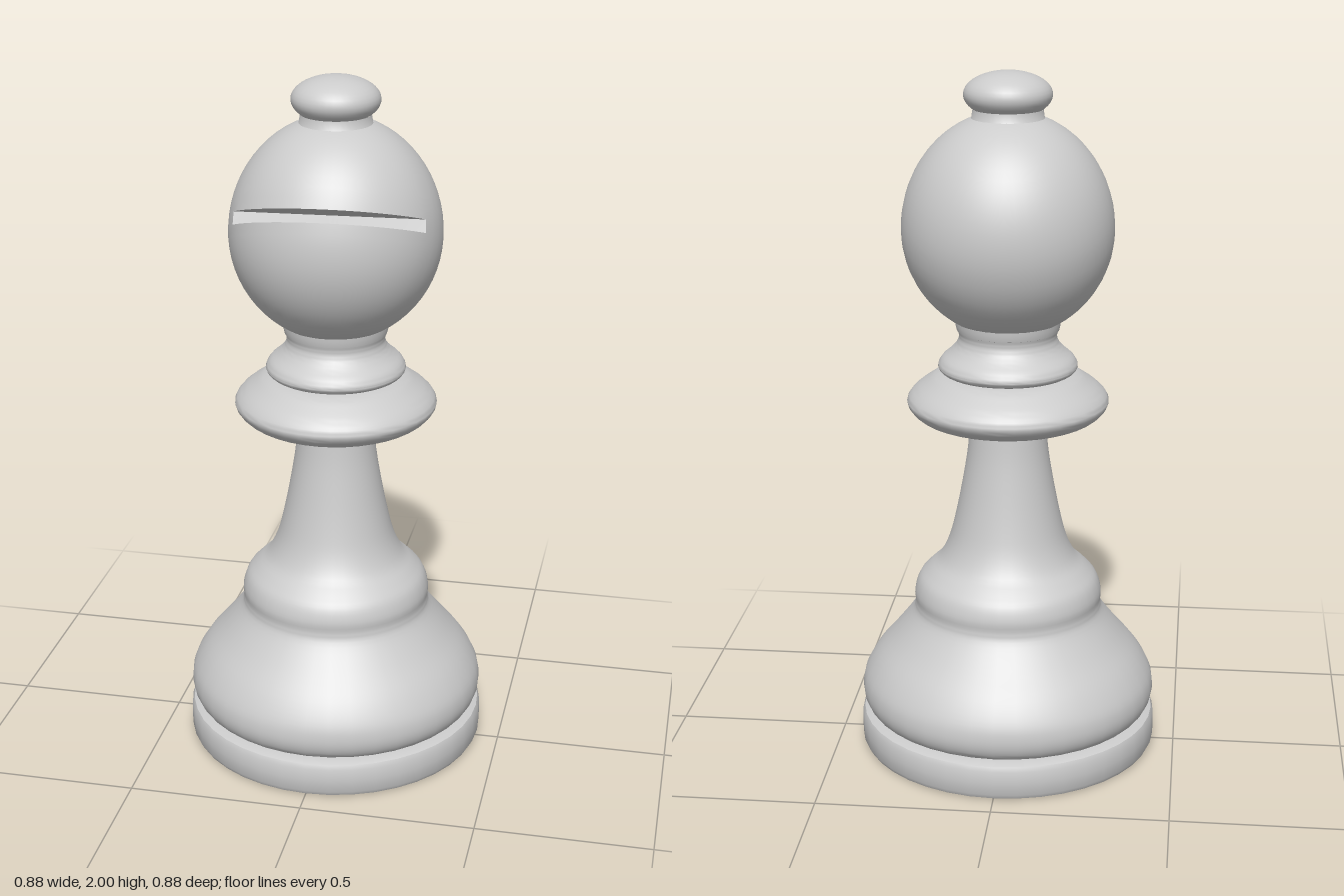
import * as THREE from 'three';
import { toCreasedNormals } from 'three/addons/utils/BufferGeometryUtils.js';

const material = new THREE.MeshStandardMaterial({ color: 0xcccccc });
const SIDES = 40;

function part(name, geometry, crease = 0.6) {
  const mesh = new THREE.Mesh(toCreasedNormals(geometry, crease), material);
  mesh.name = name;
  return mesh;
}

// Turned part from a [radius, height] profile, bottom to top
function turned(name, profile, steps = 0) {
  let pts = profile.map(([r, y]) => new THREE.Vector2(r, y));
  if (steps) pts = new THREE.SplineCurve(pts).getPoints(steps);
  return part(name, new THREE.LatheGeometry(pts, SIDES));
}

// Egg-shaped head lofted along the slot's normal; slot rows are cut back to a flat floor
function slottedHead() {
  const R = 0.3, slotLow = -0.0045, slotHigh = 0.029, floor = 0.14;
  const rows = [];
  const addRows = (from, to, n) => {
    const a = Math.asin(from / R), b = Math.asin(to / R);
    for (let i = 0; i <= n; i++) rows.push({ w: R * Math.sin(a + (b - a) * i / n), cut: false });
  };
  addRows(-R, slotLow, 16);
  rows.push({ w: slotLow, cut: true }, { w: slotHigh, cut: true });
  addRows(slotHigh, R, 16);

  // Angles chosen so that the slot ends fall exactly on a column
  const end = Math.acos(floor / R), front = 24, back = 32, angles = [];
  for (let i = 0; i < front; i++) angles.push(-end + 2 * end * i / front);
  for (let i = 0; i <= back; i++) angles.push(end + (2 * Math.PI - 2 * end) * i / back);

  const pos = [], idx = [], n = angles.length;
  for (const { w, cut } of rows) {
    const r = Math.sqrt(Math.max(0, R * R - w * w));
    for (const a of angles) {
      const c = Math.cos(a);
      const rad = cut && c > 0 ? Math.min(r, floor / c) : r;
      pos.push(rad * Math.sin(a), w, rad * c);
    }
  }
  for (let i = 0; i < rows.length - 1; i++) {
    for (let j = 0; j < n - 1; j++) {
      const a = i * n + j, b = a + 1, c = b + n, d = a + n;
      idx.push(a, b, c, a, c, d);
    }
  }
  const g = new THREE.BufferGeometry();
  g.setAttribute('position', new THREE.Float32BufferAttribute(pos, 3));
  g.setIndex(idx);
  // Tilt the slot upward towards the front, then stretch the sphere to an egg
  g.rotateX(-0.347).rotateY(0.057);
  const p = g.attributes.position;
  for (let i = 0; i < p.count; i++) {
    const y = p.getY(i);
    p.setY(i, 1.56 + y * (y > 0 ? 1.1 : 1.02));
  }
  return part('slottedHead', g);
}

export function createModel() {
  const group = new THREE.Group();
  group.name = 'chessBishop';

  // Foot disc with softened rims
  group.add(turned('base', [
    [0, 0], [0.415, 0], [0.43, 0.005], [0.437, 0.018], [0.438, 0.055],
    [0.437, 0.09], [0.431, 0.103], [0.415, 0.11], [0.39, 0.112],
  ]));

  // Swelling body rising into the stem
  group.add(turned('body', [
    [0.39, 0.108], [0.415, 0.122], [0.43, 0.15], [0.433, 0.185], [0.423, 0.225],
    [0.39, 0.28], [0.335, 0.345], [0.285, 0.41], [0.274, 0.44], [0.275, 0.475],
    [0.262, 0.515], [0.235, 0.545], [0.2, 0.58], [0.173, 0.635], [0.153, 0.71],
    [0.133, 0.81], [0.117, 0.91], [0.108, 1.01],
  ], 64));

  // Wide collar
  group.add(turned('collar', [
    [0.09, 1.002], [0.185, 1.002], [0.245, 1.012], [0.278, 1.035], [0.29, 1.062],
    [0.272, 1.09], [0.235, 1.118], [0.2, 1.138], [0.15, 1.148],
  ], 32));

  // Small ring flowing up into the neck
  group.add(turned('neckRing', [
    [0.15, 1.14], [0.185, 1.146], [0.2, 1.162], [0.19, 1.185], [0.165, 1.207],
    [0.147, 1.228], [0.14, 1.25], [0.144, 1.27],
  ], 28));
  group.add(turned('neckRim', [[0.13, 1.262], [0.146, 1.268], [0.15, 1.285], [0.15, 1.31]]));

  group.add(slottedHead());

  // Finial on a short neck
  group.add(turned('finialNeck', [[0.115, 1.855], [0.102, 1.87], [0.098, 1.895]]));
  const finial = new THREE.SphereGeometry(1, SIDES, 20).scale(0.124, 0.065, 0.124).translate(0, 1.935, 0);
  group.add(part('finial', finial));

  return group;
}
